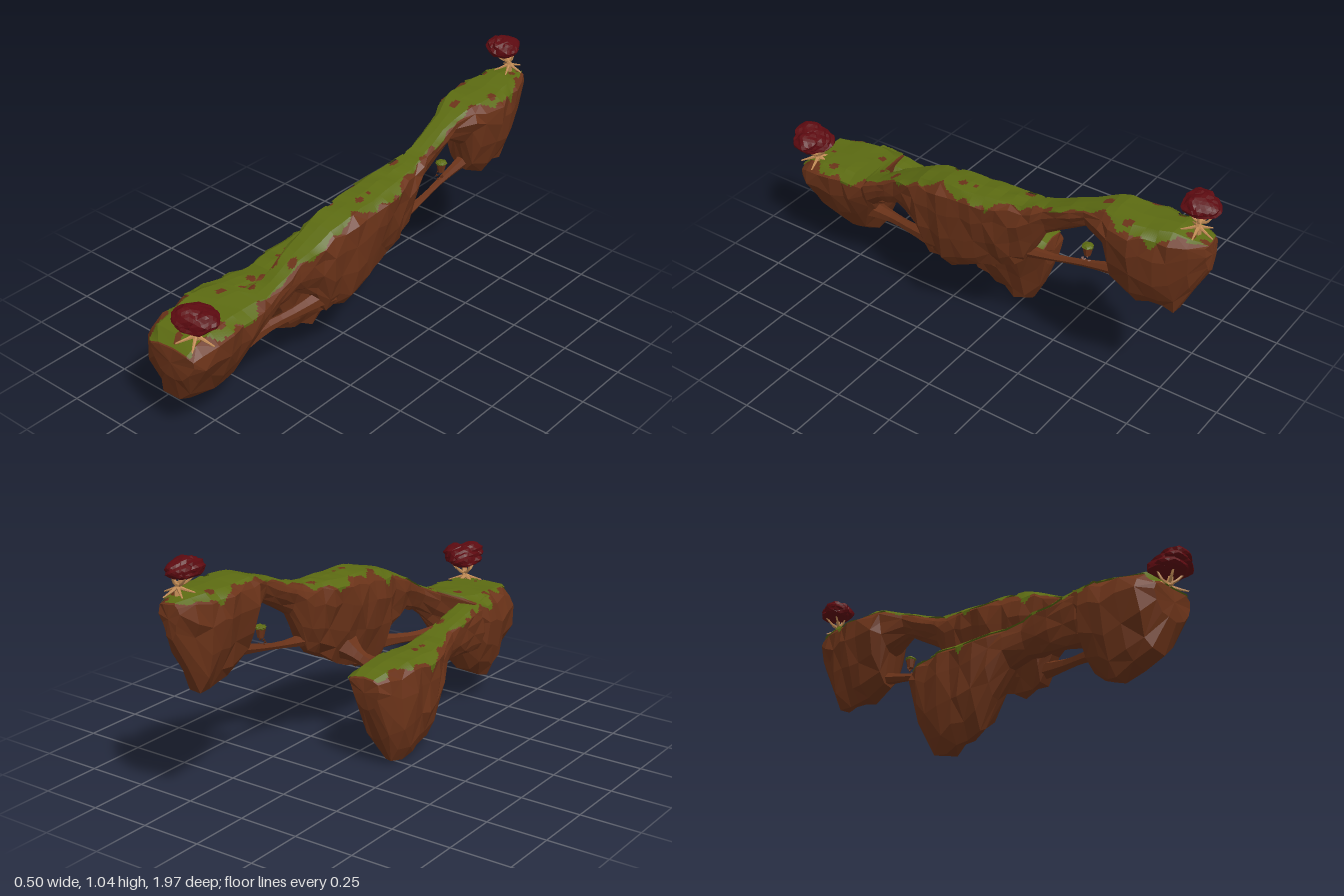
import * as THREE from 'three';

const mat = (color, side = THREE.FrontSide) => new THREE.MeshStandardMaterial({ color, flatShading: true, side });
const ROCK = mat(0x6b3319), GRASS = mat(0x5c6b12, THREE.DoubleSide), BARK = mat(0xc08a54), LEAF = mat(0x5c0a10);
const V = (x, y, z) => new THREE.Vector3(x, y, z);
const hash = n => { const s = Math.sin(n * 12.9898) * 43758.5453; return s - Math.floor(s); };
const wave = (a, b) => Math.sin(a * 17 + b * 1.9) * 0.55 + Math.sin(a * 43 + b * 3.1 + 1) * 0.35 + Math.sin(a * 97 - b * 4.3) * 0.15;

function addMesh(parent, name, geometry, material) {
  const m = new THREE.Mesh(geometry, material);
  m.name = name;
  parent.add(m);
  return m;
}

function fromTriangles(points) {
  const g = new THREE.BufferGeometry().setFromPoints(points);
  g.computeVertexNormals();
  return g;
}

// Half cross-section, bottom to top: [share of half width, share of height]
const HALF = [[0.22, 0], [0.53, 0.15], [0.8, 0.4], [1, 0.7], [0.96, 0.91], [0.62, 0.99]];
const RING = [...HALF, [0, 1], ...HALF.slice().reverse().map(([u, v]) => [-u, v])];
const N = RING.length, TOP = 6;

// Stations run front to back: [z, xMin, xMax, yTop, yBottom]; lean shifts the underside sideways with depth
function buildRings(stations, seed, lean) {
  const rows = [];
  stations.forEach((s, i) => {
    const next = stations[i + 1] ?? s, steps = Math.max(1, Math.round((s[0] - next[0]) / 0.06));
    for (let k = 0; k < steps; k++) rows.push(s.map((a, c) => a + (next[c] - a) * k / steps));
  });
  return rows.map(([z, x0, x1, yt, yb], i) => RING.map(([u, v], j) => {
    const r = k => hash(seed + i * 41 + j * 7 + k) - 0.5;
    const size = Math.min(1, (yt - yb) / 0.25), rough = v > 0.95 ? 0.008 : 0.024 * size;
    const cx = (x0 + x1) / 2 + lean(z) * (yt - yb) * (1 - v);
    return V(cx + u * (x1 - x0) / 2 + r(1) * rough, yb + v * (yt - yb) + r(2) * rough, z + r(3) * rough * 0.8);
  }));
}

function rockGeometry(rings) {
  const tris = [];
  for (let i = 0; i < rings.length - 1; i++) for (let j = 0; j < N; j++) {
    const k = (j + 1) % N, a = rings[i][j], b = rings[i][k], c = rings[i + 1][j], d = rings[i + 1][k];
    if ((i + j) % 2) tris.push(a, c, b, b, c, d);
    else tris.push(a, c, d, a, d, b);
  }
  for (const [ring, front] of [[rings[0], true], [rings[rings.length - 1], false]]) {
    const mid = ring.reduce((s, p) => s.add(p), V(0, 0, 0)).divideScalar(N);
    mid.z += front ? 0.006 : -0.006;
    ring.forEach((p, j) => {
      const q = ring[(j + 1) % N];
      tris.push(mid, front ? p : q, front ? q : p);
    });
  }
  return fromTriangles(tris);
}

// Thin turf that follows the upper rock faces, with a ragged edge and bare patches
function grassGeometry(rings, seed) {
  const tris = [], SUB = 7;
  const at = (fi, fj) => {
    const i = Math.min(Math.floor(fi), rings.length - 2), j = Math.floor(fj), s = fi - i, t = fj - j;
    const p = rings[i][j].clone().lerp(rings[i][j + 1], t).lerp(rings[i + 1][j].clone().lerp(rings[i + 1][j + 1], t), s);
    const side = (TOP - fj) / 3;
    return p.add(V(side * 0.007, 0.008 - Math.abs(side) * 0.003, 0));
  };
  for (let i = 0; i < (rings.length - 1) * SUB; i++) for (let j = (TOP - 4) * SUB; j < (TOP + 4) * SUB; j++) {
    const fi = i / SUB, fj = j / SUB, off = fj + 0.5 / SUB - TOP;
    const p = at(fi, fj), limit = 1.6 + 0.8 * wave(p.z, seed + Math.sign(off) * 2);
    const bare = Math.sin(p.z * 19 + p.x * 24 + seed) + Math.sin(p.x * 58 - p.z * 13) + 0.3 * Math.sin(p.z * 90) > 1.75;
    if (Math.abs(off) > limit || bare) continue;
    const e = 1 / SUB, q = at(fi, fj + e), r = at(fi + e, fj), s = at(fi + e, fj + e);
    tris.push(p, r, q, q, r, s);
  }
  return fromTriangles(tris);
}

// Tapered limb through a few points; waist pinches its middle
function limb(parent, name, pts, r0, r1, material, waist = 0) {
  const seg = 8, sides = 6, curve = new THREE.CatmullRomCurve3(pts.map(p => V(...p)));
  const g = new THREE.TubeGeometry(curve, seg, 1, sides);
  const pos = g.attributes.position, p = V(0, 0, 0);
  for (let i = 0; i < pos.count; i++) {
    const t = Math.floor(i / (sides + 1)) / seg, c = curve.getPointAt(t);
    const radius = (r0 + (r1 - r0) * t) * (1 - waist * Math.sin(Math.PI * t));
    p.fromBufferAttribute(pos, i).sub(c).multiplyScalar(radius).add(c);
    pos.setXYZ(i, p.x, p.y, p.z);
  }
  g.computeVertexNormals();
  addMesh(parent, name, g, material);
}

function blob(parent, name, center, radii, seed, material) {
  const g = new THREE.IcosahedronGeometry(1, 3), pos = g.attributes.position, p = V(0, 0, 0);
  for (let i = 0; i < pos.count; i++) {
    p.fromBufferAttribute(pos, i);
    const k = 0.95 + 0.08 * Math.sin(p.x * 5 + seed) * Math.sin(p.z * 6 + seed) + 0.06 * Math.sin(p.y * 9 + p.x * 5 + seed);
    pos.setXYZ(i, p.x * k * radii[0], (p.y < 0 ? p.y * 0.75 : p.y) * k * radii[1], p.z * k * radii[2]);
  }
  g.computeVertexNormals();
  addMesh(parent, name, g, material).position.set(...center);
}

// Tree in its own space, base at the origin, crown about 0.17 wide
function tree(name, seed, lean) {
  const t = new THREE.Group();
  t.name = name;
  limb(t, 'trunk', [[0, -0.015, 0], [0.003, 0.02, 0], [lean * 0.5, 0.045, 0.005], [lean, 0.09, 0.01]], 0.016, 0.008, BARK);
  for (let i = 0; i < 5; i++) {
    const a = i * 1.257 + seed, c = Math.cos(a), s = Math.sin(a);
    limb(t, 'branch', [[lean * 0.4, 0.03, 0], [lean * 0.5 + c * 0.03, 0.045, s * 0.03], [lean + c * 0.055, 0.078, s * 0.055]], 0.007, 0.004, BARK);
    limb(t, 'root', [[0, 0.02, 0], [c * 0.03, 0.008, s * 0.03], [c * 0.075, -0.008, s * 0.075]], 0.009, 0.003, BARK);
  }
  blob(t, 'crown', [lean, 0.098, 0.01], [0.082, 0.056, 0.08], seed, LEAF);
  for (let i = 0; i < 3; i++) {
    const a = i * 2.1 + seed * 2;
    blob(t, 'crownLobe', [lean + Math.cos(a) * 0.032, 0.092 + hash(seed + i) * 0.03, 0.01 + Math.sin(a) * 0.032], [0.06, 0.045, 0.06], seed + i, LEAF);
  }
  return t;
}

function rockBody(parent, name, stations, seed, lean) {
  const rings = buildRings(stations, seed, lean);
  addMesh(parent, name + 'Rock', rockGeometry(rings), ROCK);
  addMesh(parent, name + 'Grass', grassGeometry(rings, seed), GRASS);
}

export function createModel() {
  const model = new THREE.Group();
  model.name = 'floatingIsland';

  // Ridge: front bluff, first arch, middle body, second arch, rear rock
  rockBody(model, 'ridge', [
    [0.95, -0.1, 0.12, 0.44, 0.31], [0.91, -0.16, 0.145, 0.475, 0.19],
    [0.77, -0.18, 0.15, 0.495, 0.1], [0.67, -0.18, 0.15, 0.5, 0.16],
    [0.605, -0.15, 0.15, 0.505, 0.29], [0.58, 0, 0.15, 0.515, 0.38],
    [0.52, 0.038, 0.15, 0.54, 0.435], [0.42, 0.04, 0.16, 0.6, 0.465],
    [0.32, 0.035, 0.185, 0.655, 0.41], [0.27, 0.03, 0.2, 0.68, 0.31],
    [0.16, 0.03, 0.217, 0.71, 0.295], [0, 0.03, 0.222, 0.72, 0.36],
    [-0.21, 0.055, 0.195, 0.74, 0.47], [-0.3, 0.078, 0.18, 0.765, 0.64],
    [-0.48, 0.075, 0.18, 0.84, 0.745], [-0.57, 0.03, 0.215, 0.87, 0.69],
    [-0.61, 0.015, 0.237, 0.88, 0.56], [-0.7, 0.01, 0.25, 0.88, 0.52],
    [-0.85, 0.015, 0.21, 0.89, 0.51], [-0.97, 0.07, 0.16, 0.87, 0.745],
  ], 3, z => (z > 0.6 ? -0.16 : 0));

  // Lower side arm, running back from the bluff to a hanging lobe
  rockBody(model, 'sideArm', [
    [0.72, -0.17, -0.06, 0.485, 0.25], [0.58, -0.18, -0.06, 0.47, 0.28],
    [0.4, -0.182, -0.068, 0.43, 0.29], [0.32, -0.21, -0.06, 0.415, 0.27],
    [0.2, -0.242, -0.05, 0.41, 0.05], [0.03, -0.24, -0.03, 0.415, 0.004],
    [-0.04, -0.235, -0.035, 0.41, 0.008], [-0.1, -0.228, -0.045, 0.405, 0.11],
    [-0.155, -0.2, -0.06, 0.385, 0.26],
  ], 77, () => -0.08);

  // Narrow rock links
  limb(model, 'sideLink', [[-0.1, 0.34, 0.05], [-0.01, 0.375, 0.03], [0.11, 0.43, 0.03]], 0.075, 0.075, ROCK, 0.62);
  limb(model, 'frontStrut', [[0.03, 0.31, 0.68], [0.06, 0.33, 0.5], [0.09, 0.345, 0.38], [0.12, 0.37, 0.22]], 0.05, 0.045, ROCK, 0.55);
  limb(model, 'rearStrut', [[0.125, 0.5, -0.14], [0.125, 0.525, -0.32], [0.12, 0.555, -0.46], [0.125, 0.6, -0.64]], 0.035, 0.03, ROCK, 0.6);

  // Small tufted stone above the rear strut, with crumbs beneath
  const stone = new THREE.Group();
  stone.name = 'hoveringStone';
  stone.position.set(0.12, 0.618, -0.47);
  addMesh(stone, 'stone', new THREE.CylinderGeometry(0.021, 0.013, 0.04, 7), ROCK);
  blob(stone, 'stoneGrass', [0, 0.02, 0], [0.023, 0.012, 0.023], 4, GRASS);
  for (let i = 0; i < 5; i++) {
    const crumb = addMesh(stone, 'crumb', new THREE.TetrahedronGeometry(0.008), ROCK);
    crumb.position.set((hash(i) - 0.5) * 0.03, -0.026 - i * 0.006, (hash(i + 9) - 0.5) * 0.03);
  }
  model.add(stone);

  // Trees at both ends
  const front = tree('frontTree', 1, 0.018);
  front.position.set(0.067, 0.477, 0.885);
  const rear = tree('rearTree', 2.4, -0.035);
  rear.position.set(0.12, 0.898, -0.915);
  rear.scale.set(0.76, 0.88, 0.87);
  model.add(front, rear);
  return model;
}
